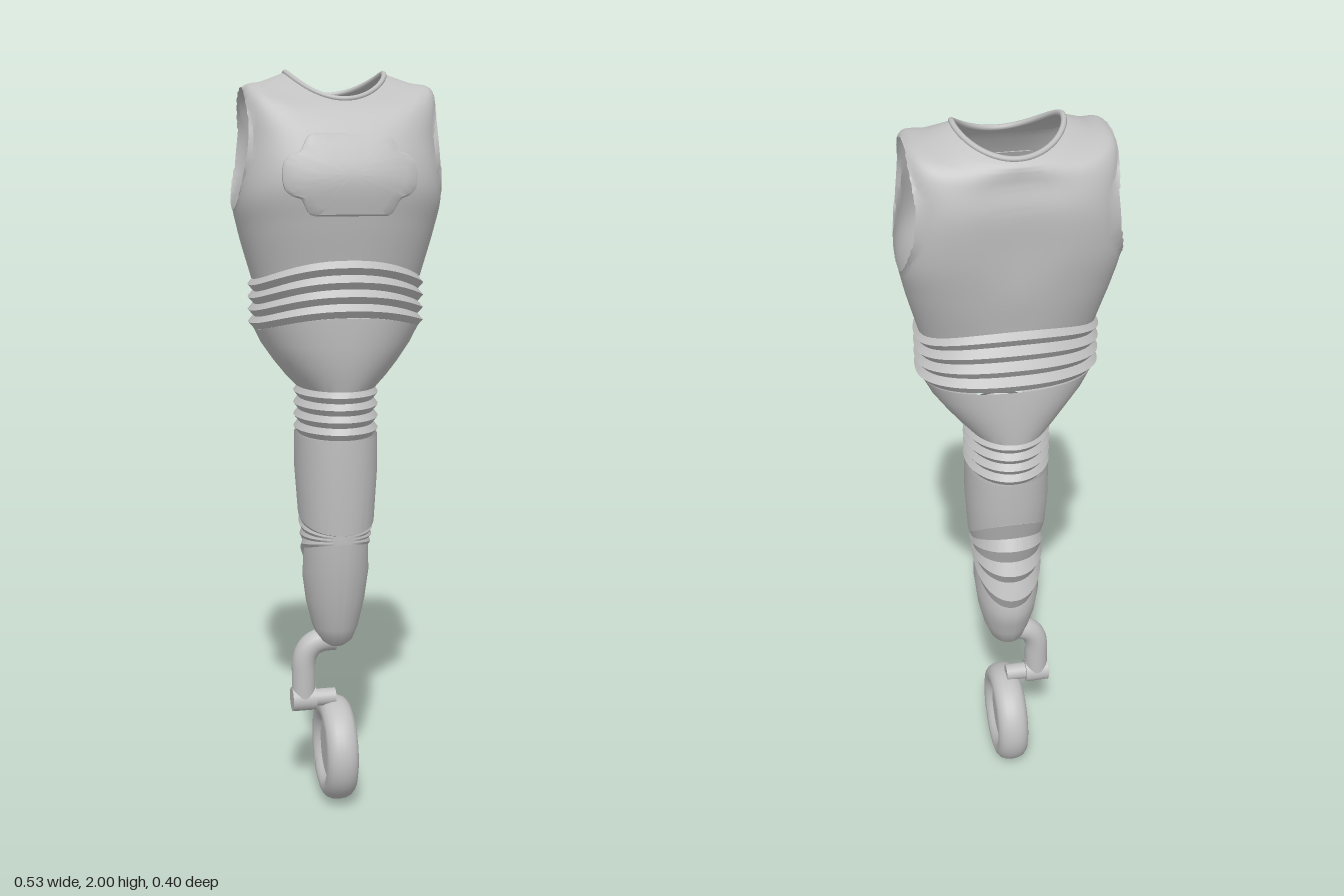
import * as THREE from 'three';
import { toCreasedNormals } from 'three/addons/utils/BufferGeometryUtils.js';

const SEG = 64;
const grey = new THREE.MeshStandardMaterial({ color: 0xc0c0c0, side: THREE.DoubleSide });
grey.name = 'grey';

function addMesh(parent, name, geometry) {
  const mesh = new THREE.Mesh(geometry, grey);
  mesh.name = name;
  parent.add(mesh);
  return mesh;
}

// Rounded cross-section: side half width and height, front z and height, back z and height
// n and nb square the front and back corners, p shapes the rise from side to front and back
function section([x, y, zf, yf, zb, yb], n = 2, p = 1, zc = -0.02, nb = n) {
  const points = [];
  for (let j = 0; j < SEG; j++) {
    const a = (j / SEG) * Math.PI * 2, c = Math.cos(a), s = Math.sin(a);
    const [z, top, e] = s > 0 ? [zf, yf, 2 / n] : [zb, yb, 2 / nb];
    points.push(new THREE.Vector3(
      x * Math.sign(c) * Math.abs(c) ** e,
      y + (top - y) * Math.abs(s) ** p,
      zc + (z - zc) * Math.abs(s) ** e));
  }
  return points;
}

// Skin between closed loops, given from bottom to top
function loft(loops, keep = () => true, crease = 0.5) {
  const m = loops[0].length, index = [];
  for (let i = 0; i < loops.length - 1; i++) {
    for (let j = 0; j < m; j++) {
      const k = (j + 1) % m;
      if (!keep(i, j, k)) continue;
      const a = i * m + j, b = i * m + k, d = a + m, c = b + m;
      index.push(a, d, b, b, d, c);
    }
  }
  const geo = new THREE.BufferGeometry().setFromPoints(loops.flat());
  geo.setIndex(index);
  return toCreasedNormals(geo, crease);
}

// Chest shell: smooth columns through key sections, with armholes cut out
function chestGeometry(keys) {
  const rows = 44, loops = [];
  const columns = keys[0].map((_, j) => new THREE.CatmullRomCurve3(keys.map(k => k[j])));
  for (let i = 0; i <= rows; i++) loops.push(columns.map(c => c.getPoint(i / rows)));
  const hole = { y: 1.805, z: -0.033, ry: 0.155, rz: 0.137 };
  const inside = loops.map(l => l.map(p =>
    Math.abs(p.x) > 0.16 && Math.hypot((p.y - hole.y) / hole.ry, (p.z - hole.z) / hole.rz) < 1));
  const keep = (i, j, k) => !(inside[i][j] && inside[i][k] && inside[i + 1][j] && inside[i + 1][k]);
  // Pull the remaining inner vertices onto the armhole edge
  loops.forEach((l, i) => l.forEach((p, j) => {
    if (!inside[i][j]) return;
    const dy = (p.y - hole.y) / hole.ry, dz = (p.z - hole.z) / hole.rz;
    const r = Math.hypot(dy, dz) || 1;
    p.y = hole.y + (dy / r) * hole.ry;
    p.z = hole.z + (dz / r) * hole.rz;
    const rim = 0.268 - 0.028 * Math.min(1, (p.y - 1.65) / 0.25);
    p.x = Math.sign(p.x) * (rim + Math.abs(p.x)) / 2;
  }));
  return loft(loops, keep, 0.7);
}

export function createModel() {
  const group = new THREE.Group();

  // Chest, from the ribbed band up to the neckline
  const neck = section([0.128, 1.995, 0.098, 1.925, -0.158, 1.945], 2, 1.6, -0.035);
  const chestKeys = [
    section([0.222, 1.475, 0.16, 1.53, -0.162, 1.515], 2.3, 2),
    section([0.255, 1.6, 0.182, 1.63, -0.178, 1.61], 2.5, 2, -0.02, 3),
    section([0.267, 1.68, 0.197, 1.73, -0.196, 1.73], 2.7, 2, -0.01, 3.8),
    section([0.25, 1.82, 0.168, 1.82, -0.2, 1.83], 3.1, 2, 0, 4.6),
    section([0.242, 1.955, 0.135, 1.88, -0.187, 1.89], 3, 2, -0.01, 3.6),
    section([0.19, 1.972, 0.113, 1.91, -0.172, 1.93], 2.4, 1.8, -0.025),
    neck,
  ];
  // Shallow spine hollow
  chestKeys.slice(2, 5).forEach(l => l.forEach(p => {
    if (p.z < -0.1) p.z += 0.013 * Math.exp(-((p.x / 0.07) ** 2));
  }));
  const chest = addMesh(group, 'chest', chestGeometry(chestKeys));
  addMesh(group, 'collar', new THREE.TubeGeometry(
    new THREE.CatmullRomCurve3(neck, true), 96, 0.007, 8, true));

  // Chest plate with side tabs, laid over the chest surface
  const outline = new THREE.Shape();
  const half = [[0.095, -0.1], [0.108, -0.092], [0.125, -0.058], [0.15, -0.05], [0.166, -0.035], [0.171, -0.015],
    [0.171, 0.015], [0.166, 0.035], [0.15, 0.05], [0.125, 0.058], [0.108, 0.092], [0.095, 0.1]];
  outline.setFromPoints([...half, ...half.map(([x, y]) => [-x, -y])].map(p => new THREE.Vector2(...p)));
  outline.closePath();
  const edge = outline.getSpacedPoints(80).slice(0, 80);
  const ray = new THREE.Raycaster();
  const plate = [[0, 0.009], [0.2, 0.009], [0.4, 0.009], [0.6, 0.009], [0.8, 0.009], [0.95, 0.009],
    [0.99, 0.006], [1, -0.006]].map(([s, lift]) => edge.map(e => {
    const x = e.x * s, y = 1.74 + e.y * s;
    ray.set(new THREE.Vector3(x, y, 1), new THREE.Vector3(0, 0, -1));
    return new THREE.Vector3(x, y, ray.intersectObject(chest)[0].point.z + lift);
  }));
  addMesh(group, 'chestPlate', loft(plate));

  // Arched ribs around the torso
  const ribs = [];
  for (let i = 0; i <= 8; i++) {
    const t = i / 8, out = i % 2 ? 0.01 : -0.004;
    ribs.push(section([0.222 + out, 1.345 + 0.13 * t, 0.157 + out, 1.385 + 0.145 * t,
      -0.157 - out, 1.345 + 0.17 * t], 2.3, 2));
  }
  addMesh(group, 'torsoRibs', loft(ribs, undefined, 0.3));

  // Belly
  addMesh(group, 'belly', loft([
    section([0.106, 1.19, 0.128, 1.19, -0.16, 1.19]),
    section([0.135, 1.22, 0.137, 1.22, -0.162, 1.22]),
    section([0.167, 1.26, 0.146, 1.26, -0.163, 1.26], 2.05),
    section([0.198, 1.305, 0.153, 1.31, -0.163, 1.3], 2.15),
    section([0.218, 1.345, 0.157, 1.385, -0.161, 1.345], 2.3, 2),
  ], undefined, 0.8));

  // Waist ribs
  const waist = [];
  for (let i = 0; i <= 8; i++) {
    const y = 1.06 + 0.13 * i / 8, out = i % 2 ? 0.006 : -0.006;
    waist.push(section([0.106 + out, y, 0.122 + out, y, -0.152 - out, y]));
  }
  addMesh(group, 'waistRibs', loft(waist, undefined, 0.3));

  // Upper leg
  addMesh(group, 'upperLeg', loft([
    section([0.102, 0.834, 0.113, 0.802, -0.143, 0.93], 2.2),
    section([0.11, 0.96, 0.121, 0.95, -0.148, 0.98], 2.2),
    section([0.11, 1.06, 0.122, 1.06, -0.152, 1.06], 2.1),
  ], undefined, 0.8));

  // Knee pleats fanning out towards the back
  const backY = [0.63, 0.67, 0.72, 0.755, 0.79, 0.84, 0.87, 0.93];
  addMesh(group, 'kneePleats', loft(backY.map((yb, i) => {
    const yf = 0.774 + i * 0.004, out = i % 2 ? 0.003 : -0.003;
    return section([0.09 + 0.0013 * i + out, yf + (yb - yf) * 0.25,
      i === 7 ? 0.113 : 0.1, yf, i % 2 ? -0.145 : -0.125, yb], 2.1);
  }), undefined, 0.3));

  // Lower leg with a closed rounded tip
  addMesh(group, 'lowerLeg', loft([
    section([0.001, 0.457, -0.02, 0.457, -0.03, 0.457], 2, 1, -0.025),
    section([0.03, 0.46, 0.015, 0.46, -0.07, 0.46], 2, 1, -0.025),
    section([0.048, 0.475, 0.035, 0.475, -0.09, 0.475], 2, 1, -0.025),
    section([0.064, 0.515, 0.051, 0.515, -0.103, 0.515], 2, 1, -0.025),
    section([0.08, 0.585, 0.073, 0.6, -0.12, 0.56], 2, 1, -0.025),
    section([0.09, 0.67, 0.093, 0.7, -0.13, 0.6], 2.05),
    section([0.087, 0.738, 0.1, 0.774, -0.125, 0.63], 2.1),
  ], undefined, 0.8));

  // Bent strut that carries the wheel
  const z = -0.024;
  const strut = new THREE.CurvePath();
  const v = (x, y) => new THREE.Vector3(x, y, z);
  strut.add(new THREE.LineCurve3(v(0, 0.47), v(-0.015, 0.47)));
  strut.add(new THREE.CubicBezierCurve3(v(-0.015, 0.47), v(-0.06, 0.47), v(-0.09, 0.45), v(-0.09, 0.39)));
  strut.add(new THREE.LineCurve3(v(-0.09, 0.39), v(-0.09, 0.3)));
  addMesh(group, 'strut', new THREE.TubeGeometry(strut, 32, 0.033, 20));

  // Hub and axle
  for (const [name, x, r, len] of [['hub', -0.09, 0.034, 0.066], ['axle', -0.03, 0.024, 0.06]]) {
    const cylinder = addMesh(group, name, new THREE.CylinderGeometry(r, r, len, 24));
    cylinder.rotation.z = Math.PI / 2;
    cylinder.position.set(x, 0.298, z);
  }

  // Wheel with recessed discs on both faces
  const face = [[0.001, 0.026], [0.082, 0.026], [0.09, 0.034], [0.1, 0.042], [0.113, 0.045],
    [0.127, 0.041], [0.138, 0.031], [0.144, 0.017]];
  const profile = [...face.map(([r, h]) => [r, -h]), [0.146, 0], ...face.slice().reverse()];
  const wheel = addMesh(group, 'wheel',
    toCreasedNormals(new THREE.LatheGeometry(profile.map(p => new THREE.Vector2(...p)), 48), 0.6));
  wheel.rotation.z = Math.PI / 2;
  wheel.position.set(0, 0.146, z);

  return group;
}
